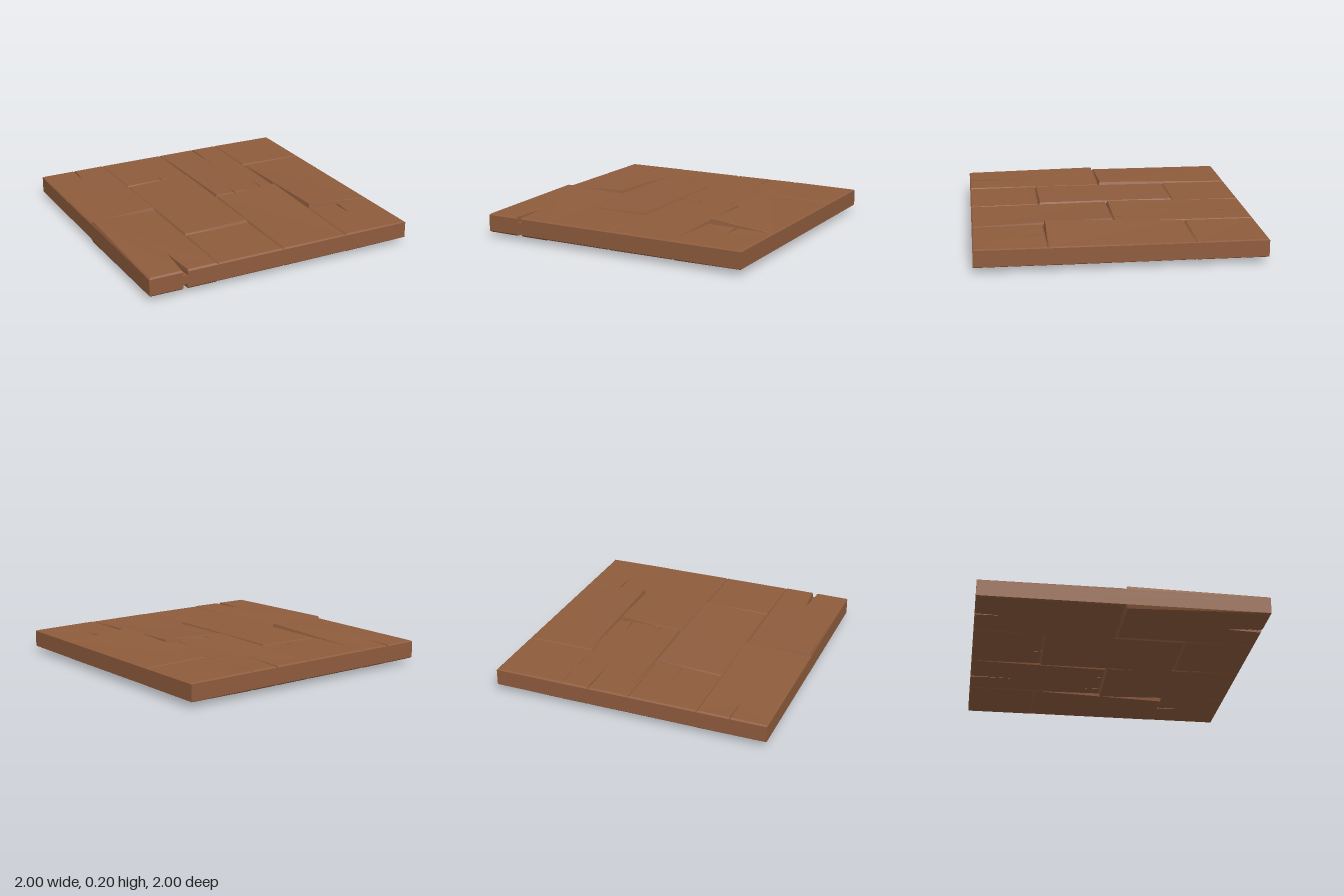
import * as THREE from 'three';

const MID = 0.1025;   // height of the middle plane between upper and lower planks
const BASE = 0.16;    // top of the core slab
const INSET = 0.011;  // bevel around each plank

// Plank: x0, z0, x1, z1, corner heights [backLeft, backRight, frontLeft, frontRight],
// cracks [edge, x, length, halfWidth]
const PLANKS = [
  [-1, -1, -0.5, 0, [0.168, 0.17, 0.17, 0.19], [['back', -0.745, 0.18, 0.008]]],
  [-1, 0, -0.5, 1, [0.186, 0.17, 0.17, 0.172], [['front', -0.74, 0.26, 0.021]]],
  [-0.5, -1, 0, -0.5, [0.169, 0.169, 0.171, 0.171], [['front', -0.21, 0.1, 0.003]]],
  [-0.5, -0.5, 0, 0.5, [0.169, 0.184, 0.175, 0.184], []],
  [-0.5, 0.5, 0, 1, [0.172, 0.172, 0.169, 0.169], []],
  [0, -1, 0.5, 0, [0.169, 0.17, 0.188, 0.174],
    [['back', 0.29, 0.34, 0.006], ['front', 0.16, 0.08, 0.004], ['front', 0.395, 0.155, 0.004]]],
  [0, 0, 0.5, 1, [0.18, 0.198, 0.17, 0.168], []],
  [0.5, -1, 1, -0.5, [0.17, 0.166, 0.172, 0.166], []],
  [0.5, -0.5, 1, 0.5, [0.172, 0.165, 0.205, 0.167], []],
  [0.5, 0.5, 1, 1, [0.174, 0.166, 0.17, 0.166], [['back', 0.73, 0.18, 0.009]]],
];

// Rectangle in plan with wedge-shaped cracks cut in from its back and front edges
function outline(x0, z0, x1, z1, cracks) {
  const points = [[x0, z0]];
  const cut = (edge, z, dir) => cracks.filter((c) => c[0] === edge)
    .sort((a, b) => dir * (a[1] - b[1]))
    .forEach(([, x, length, half]) => points.push(
      [x - dir * half, z], [x, z + dir * length], [x + dir * half, z]));
  cut('back', z0, 1);
  points.push([x1, z0], [x1, z1]);
  cut('front', z1, -1);
  points.push([x0, z1]);
  return new THREE.Shape(points.map(([x, z]) => new THREE.Vector2(x, z)));
}

// Extrude a plan downward, then set every vertex by a rule
function extrudePlan(shape, rule) {
  const geometry = new THREE.ExtrudeGeometry(shape, { depth: 1, bevelEnabled: false });
  geometry.rotateX(Math.PI / 2);
  const pos = geometry.attributes.position;
  for (let i = 0; i < pos.count; i++) {
    pos.setXYZ(i, ...rule(pos.getX(i), pos.getZ(i), pos.getY(i) > -0.5));
  }
  geometry.computeVertexNormals();
  return geometry;
}

// Tilted plank with sloping edges
function plankGeometry([x0, z0, x1, z1, [bl, br, fl, fr], cracks]) {
  const a = x0 + INSET, b = x1 - INSET, c = z0 + INSET, d = z1 - INSET;
  const flare = (v, lo, hi) => (Math.abs(v - lo) < 1e-4 ? v - INSET : Math.abs(v - hi) < 1e-4 ? v + INSET : v);
  return extrudePlan(outline(a, c, b, d, cracks), (x, z, top) => {
    if (!top) return [flare(x, a, b), BASE, flare(z, c, d)];
    const u = (x - a) / (b - a), v = (z - c) / (d - c);
    return [x, (bl * (1 - u) + br * u) * (1 - v) + (fl * (1 - u) + fr * u) * v, z];
  });
}

// Copy a geometry upside down below the middle plane, keeping its faces outward
function mirrored(source) {
  const geometry = source.clone();
  const pos = geometry.attributes.position;
  const p = new THREE.Vector3(), q = new THREE.Vector3();
  for (let i = 0; i < pos.count; i += 3) {
    p.fromBufferAttribute(pos, i + 1);
    q.fromBufferAttribute(pos, i + 2);
    pos.setXYZ(i + 1, q.x, q.y, q.z);
    pos.setXYZ(i + 2, p.x, p.y, p.z);
  }
  for (let i = 0; i < pos.count; i++) pos.setY(i, 2 * MID - pos.getY(i));
  geometry.computeVertexNormals();
  return geometry;
}

export function createModel() {
  const model = new THREE.Group();
  model.name = 'woodenFloor';
  const wood = new THREE.MeshStandardMaterial({ color: 0x8f5c3d });
  wood.name = 'brownWood';

  const add = (parent, name, geometry) => {
    const mesh = new THREE.Mesh(geometry, wood);
    mesh.name = name;
    parent.add(mesh);
    return mesh;
  };

  // Core: solid middle, with notched layers above and below for the deep front crack
  add(model, 'coreSlab', new THREE.BoxGeometry(2, 0.06, 2)).position.y = MID;
  const layer = extrudePlan(
    outline(-1, -1, 1, 1, [['front', -0.74, 0.24, 0.018]]),
    (x, z, top) => [x, top ? BASE : MID + 0.03, z]);
  add(model, 'upperLayer', layer);
  add(model, 'lowerLayer', mirrored(layer));

  // Planks on both faces
  const upper = new THREE.Group(), lower = new THREE.Group();
  upper.name = 'upperPlanks';
  lower.name = 'lowerPlanks';
  model.add(upper, lower);
  PLANKS.forEach((spec, i) => {
    const geometry = plankGeometry(spec);
    add(upper, `upperPlank${i + 1}`, geometry);
    add(lower, `lowerPlank${i + 1}`, mirrored(geometry));
  });
  return model;
}
